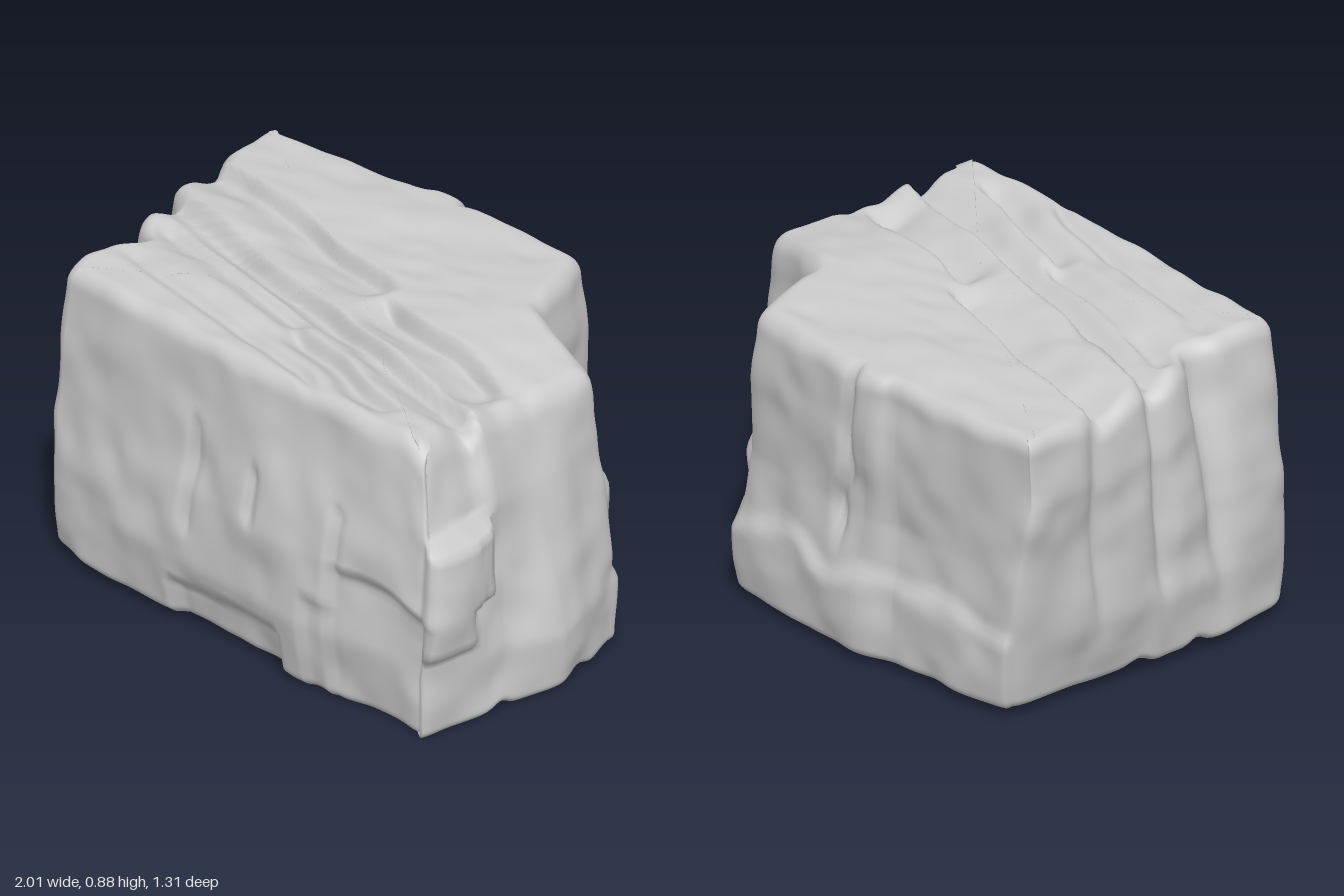
import * as THREE from 'three';

// Plan outlines (x, z pairs) at rising heights, all starting at the back right corner
const HEIGHT = 0.87;
const LEVELS = [0, 0.2, 0.42, 0.66, HEIGHT];
const OUTLINES = [
  [-.88, -.51, -.43, -.58, -.30, -.61, .28, -.61, .54, -.38, .79, -.23, .91, .06, .92, .27, .94, .60, .35, .61, -.65, .55, -.76, .30, -.84, .02, -.87, -.25],
  [-.91, -.53, -.43, -.59, -.30, -.63, .28, -.62, .53, -.37, .79, -.22, .93, .07, .92, .27, .94, .60, .35, .645, -.65, .57, -.78, .30, -.86, .02, -.90, -.25],
  [-.95, -.53, -.43, -.57, -.32, -.61, .26, -.60, .46, -.34, .77, -.21, .89, .08, .90, .26, .95, .58, .35, .63, -.66, .56, -.77, .29, -.87, .01, -.92, -.25],
  [-1.0, -.52, -.43, -.59, -.34, -.62, .24, -.61, .42, -.33, .75, -.20, .85, .08, .88, .25, .94, .56, .35, .58, -.64, .55, -.73, .29, -.87, .00, -.94, -.25],
  [-1.0, -.53, -.43, -.59, -.36, -.62, .21, -.60, .40, -.32, .73, -.18, .79, .08, .81, .25, .88, .53, .35, .55, -.62, .53, -.69, .28, -.84, .00, -.93, -.25],
];
const step = (a, b, v) => THREE.MathUtils.smoothstep(v, a, b);
const band = (a, b, v, e = 0.015) => step(a - e, a + e, v) * (1 - step(b - e, b + e, v));
const dip = (v, w) => Math.exp(-((v / w) ** 2));

// Smooth seeded value noise, about -1 to 1
const hash = (i, j, k) => {
  const h = Math.sin(i * 127.1 + j * 311.7 + k * 74.7) * 43758.5453;
  return (h - Math.floor(h)) * 2 - 1;
};
function noise(x, y, z) {
  const c = [x, y, z].map(Math.floor);
  const [u, v, w] = [x, y, z].map((q, n) => step(0, 1, q - c[n]));
  let sum = 0;
  for (let n = 0; n < 8; n++) {
    const [a, b, d] = [n & 1, (n >> 1) & 1, n >> 2];
    sum += hash(c[0] + a, c[1] + b, c[2] + d) * (a ? u : 1 - u) * (b ? v : 1 - v) * (d ? w : 1 - w);
  }
  return sum;
}

// Tilted layers: each bed drops sharply towards the front, then climbs back
const BEDS = [ // offset, x from, x to, depth, width
  [-.09, -1.2, .02, .05, .18], [-.03, .10, .68, .055, .20], [.145, -1.2, .85, .055, .13],
  [.245, -.72, .05, .035, .10], [.29, .06, .62, .04, .10], [.42, -.62, .38, .02, .06],
];
const across = (x, z) => z - 0.18 * x + 0.03 * noise(x * 4, 3, z * 2);
function topHeight(x, z) {
  const s = across(x, z);
  let h = 0.868 - 0.015 * step(0.2, 0.9, x) + 0.012 * noise(x * 3, 7, z * 5) + 0.006 * noise(x * 9, 1, z * 16);
  for (const [s0, x0, x1, depth, w] of BEDS) {
    const d = s - s0;
    h -= depth * step(-0.02, 0.012, d) * (1 - step(0.012, w, d)) * band(x0, x1, x, 0.06);
  }
  // the left end slopes away
  return h - 0.035 * step(.4, .8, x) * (1 - step(.15, .3, z)) - 0.10 * step(.76, .98, x);
}
// Underside with a slight tilt and shallow grooves along the same beds
const bottomHeight = (x, z) => {
  const s = across(x, z);
  return 0.014 * (1 - x) + 0.02 * (dip(s + 0.2, .04) * step(-.3, .1, x) + dip(s - 0.12, .04) + dip(s - .33, .03) * (1 - step(-.2, .2, x)));
};

// Outward push of the side walls: ledges, chipped corners and cracks
function wallPush(x, y, z, nx, nz) {
  const front = step(.4, .8, nz), back = step(.4, .8, -nz);
  const left = step(.4, .8, nx), right = step(.4, .8, -nx);
  let d = 0.018 * noise(x * 4, y * 4, z * 4) + 0.009 * noise(x * 10, y * 10, z * 10);
  // front ledges and nicks
  d -= front * 0.03 * band(-.11, .36, x) * (1 - step(.10 + .05 * x, .14 + .05 * x, y));
  d -= front * 0.025 * step(.56, .59, x) * (1 - step(.39, .42, y));
  d -= front * 0.015 * band(.48, .58, x) * (1 - step(.27, .3, y));
  d -= front * 0.018 * (dip(x + .04, .015) * band(.3, .62, y, .03) + dip(x - .24, .02) * band(.43, .58, y, .03));
  d -= front * 0.02 * dip(x - .59, .015) * band(.41, .58, y, .02);
  // blocks standing out at the left end, with a chip above them
  d -= left * 0.03 * step(.26, .34, z) * step(.64, .67, y);
  d += left * 0.04 * band(.32, .42, z) * band(.41, .65, y);
  d += left * 0.04 * step(.40, .43, z) * band(.28, .65, y);
  d -= left * 0.02 * dip(z - .12, .1) * step(.3, .6, y);
  // split beds on the right end
  const s = across(x, z) + 0.06 * (y - 0.4);
  for (const [s0, w, a] of [[-.07, .03, .02], [.18, .035, .035], [.40, .04, .05]])
    d -= right * a * dip(s - s0, w) * step(.05, .45, y);
  // back foot ledge and crack
  d += back * 0.02 * (1 - step(.2, .26, y + .05 * noise(x * 6, 0, 0)));
  d -= back * 0.03 * dip(x + .2 + .12 * (y - .5) + .04 * noise(y * 9, 2, 0), .022) * step(.25, .4, y);
  return d;
}

// Quarter-round inset: 0 where the rounding starts, r at the rim
const roundInset = (t, r) => {
  const k = THREE.MathUtils.clamp(t, 0, 1);
  return r * (1 - Math.sqrt(1 - k * k));
};

function makeRock() {
  const curves = OUTLINES.map((o) => {
    const pts = [];
    for (let i = 0; i < o.length; i += 2) pts.push(new THREE.Vector3(o[i], 0, o[i + 1]));
    return new THREE.CatmullRomCurve3(pts, true, 'catmullrom', 0.2);
  });
  // Perimeter parameters spread evenly by edge length
  const params = [], ctrl = curves[2].points, K = ctrl.length;
  ctrl.forEach((p, k) => {
    const n = Math.ceil(p.distanceTo(ctrl[(k + 1) % K]) / 0.02);
    for (let j = 0; j < n; j++) params.push((k + j / n) / K);
  });
  const N = params.length, SPAN = 4;
  const rings = curves.map((c) => params.map((u) => c.getPoint(u)));

  // One outline at height y, pushed along its softened outward normals
  function wallRing(y, inset) {
    let l = 0;
    while (l < LEVELS.length - 2 && y > LEVELS[l + 1]) l++;
    const t = (y - LEVELS[l]) / (LEVELS[l + 1] - LEVELS[l]);
    const base = rings[l].map((p, i) => p.clone().lerp(rings[l + 1][i], t));
    return base.map((p, i) => {
      const a = base[(i + N - SPAN) % N], b = base[(i + SPAN) % N];
      const len = Math.hypot(b.x - a.x, b.z - a.z);
      const nx = (b.z - a.z) / len, nz = (a.x - b.x) / len;
      const d = wallPush(p.x, y, p.z, nx, nz) - inset;
      return [p.x + nx * d, p.z + nz * d];
    });
  }

  const pos = [], idx = [];
  const addRow = (ring, scale, height) => ring.forEach(([x, z]) => {
    pos.push(x * scale, height(x * scale, z * scale), z * scale);
  });
  // Underside, walls with rounded rims, then the layered top
  const WALL = 60, TOP = 52, UNDER = 20, R_TOP = 0.045, R_LOW = 0.027;
  const low = wallRing(0, R_LOW), high = wallRing(HEIGHT, R_TOP);
  for (let r = 0; r < UNDER; r++) addRow(low, r / UNDER, bottomHeight);
  for (let r = 0; r <= WALL; r++) {
    const c = Math.cos(Math.PI * r / WALL);
    const f = 0.5 - 0.5 * c * (0.75 + 0.25 * Math.abs(c));
    const inset = roundInset((f - 0.94) / 0.06, R_TOP) + roundInset((0.03 - f) / 0.03, R_LOW);
    addRow(wallRing(f * HEIGHT, inset), 1, (x, z) => THREE.MathUtils.lerp(bottomHeight(x, z), topHeight(x, z), f));
  }
  for (let r = TOP - 1; r >= 0; r--) addRow(high, r / TOP, topHeight);

  // Join neighbouring rows; the first and last rows are single points
  const rows = UNDER + WALL + 1 + TOP;
  for (let r = 0; r < rows - 1; r++) for (let i = 0; i < N; i++) {
    const a = r * N + i, b = r * N + (i + 1) % N, c = a + N, d = b + N;
    if (r < rows - 2) idx.push(a, c, d);
    if (r > 0) idx.push(a, d, b);
  }
  const geo = new THREE.BufferGeometry();
  geo.setAttribute('position', new THREE.Float32BufferAttribute(pos, 3));
  geo.setIndex(idx);
  geo.computeVertexNormals();
  return geo;
}

export function createModel() {
  const group = new THREE.Group();
  group.name = 'layeredRock';
  const rock = new THREE.Mesh(makeRock(), new THREE.MeshStandardMaterial({ color: 0xcccccc }));
  rock.name = 'rockBlock';
  group.add(rock);
  return group;
}
